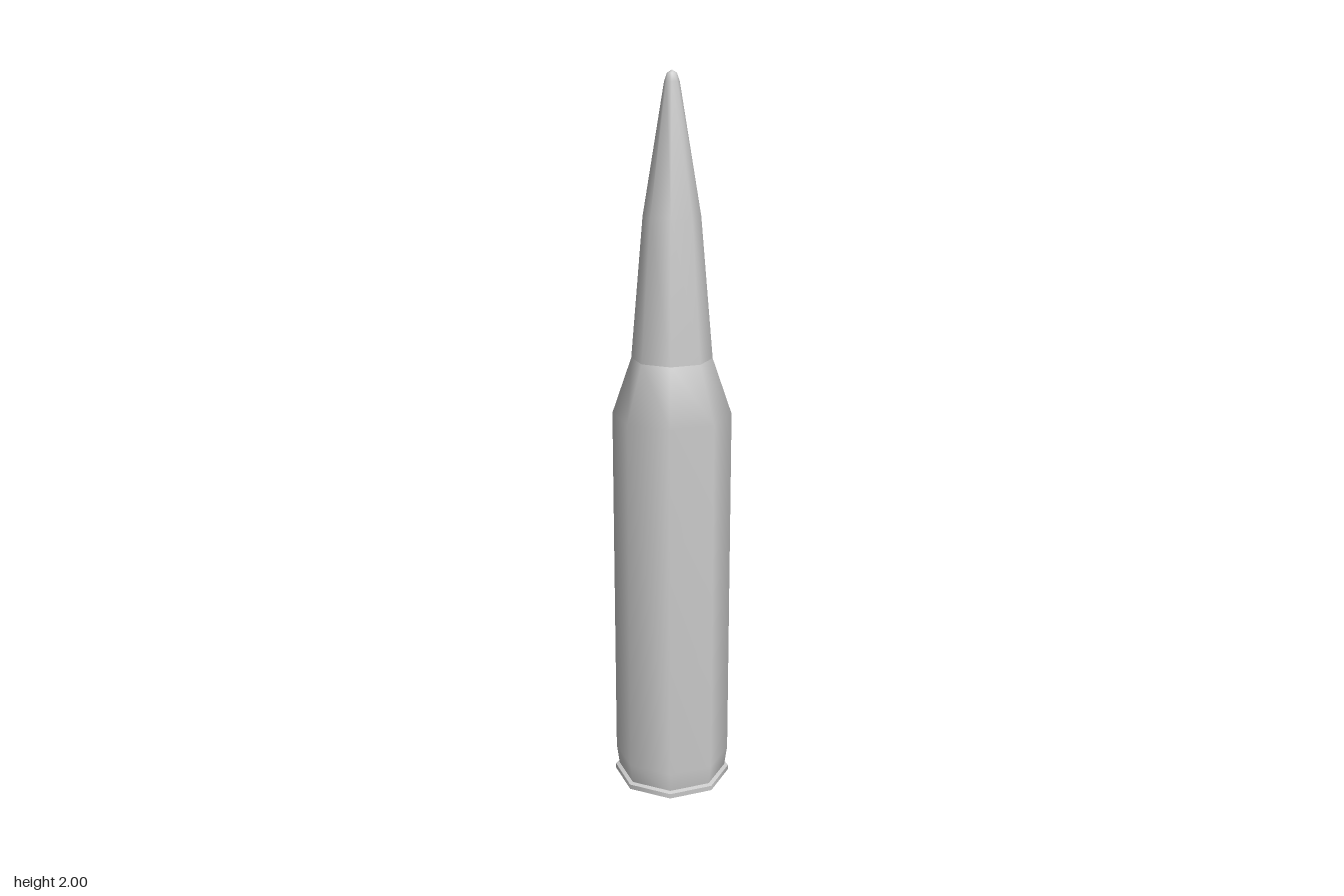
import * as THREE from 'three';

const SIDES = 8;

// Eight-sided turned part, smooth around and along its profile of [radius, height]
function turned(name, profile, material) {
  const points = profile.map(([r, y]) => new THREE.Vector2(r, y));
  const mesh = new THREE.Mesh(new THREE.LatheGeometry(points, SIDES), material);
  mesh.name = name;
  return mesh;
}

export function createModel() {
  const group = new THREE.Group();
  group.name = 'cartridge';
  const grey = new THREE.MeshStandardMaterial({ color: 0xcccccc });

  // Flat base, rim edge and the ledge above the rim, kept apart for sharp edges
  group.add(turned('base', [[0, 0], [0.166, 0]], grey));
  group.add(turned('rimEdge', [[0.166, 0], [0.166, 0.014]], grey));
  group.add(turned('rimLedge', [[0.166, 0.014], [0.155, 0.018]], grey));

  // Case: extractor taper, straight body and shoulder
  group.add(turned('case', [[0.155, 0.018], [0.163, 0.075], [0.163, 1.095], [0.11, 1.25]], grey));

  // Bullet: tapered lower half, steeper nose and small rounded tip
  group.add(turned('bullet',
    [[0.11, 1.25], [0.077, 1.63], [0.02, 1.972], [0.013, 1.992], [0, 2]], grey));

  return group;
}
